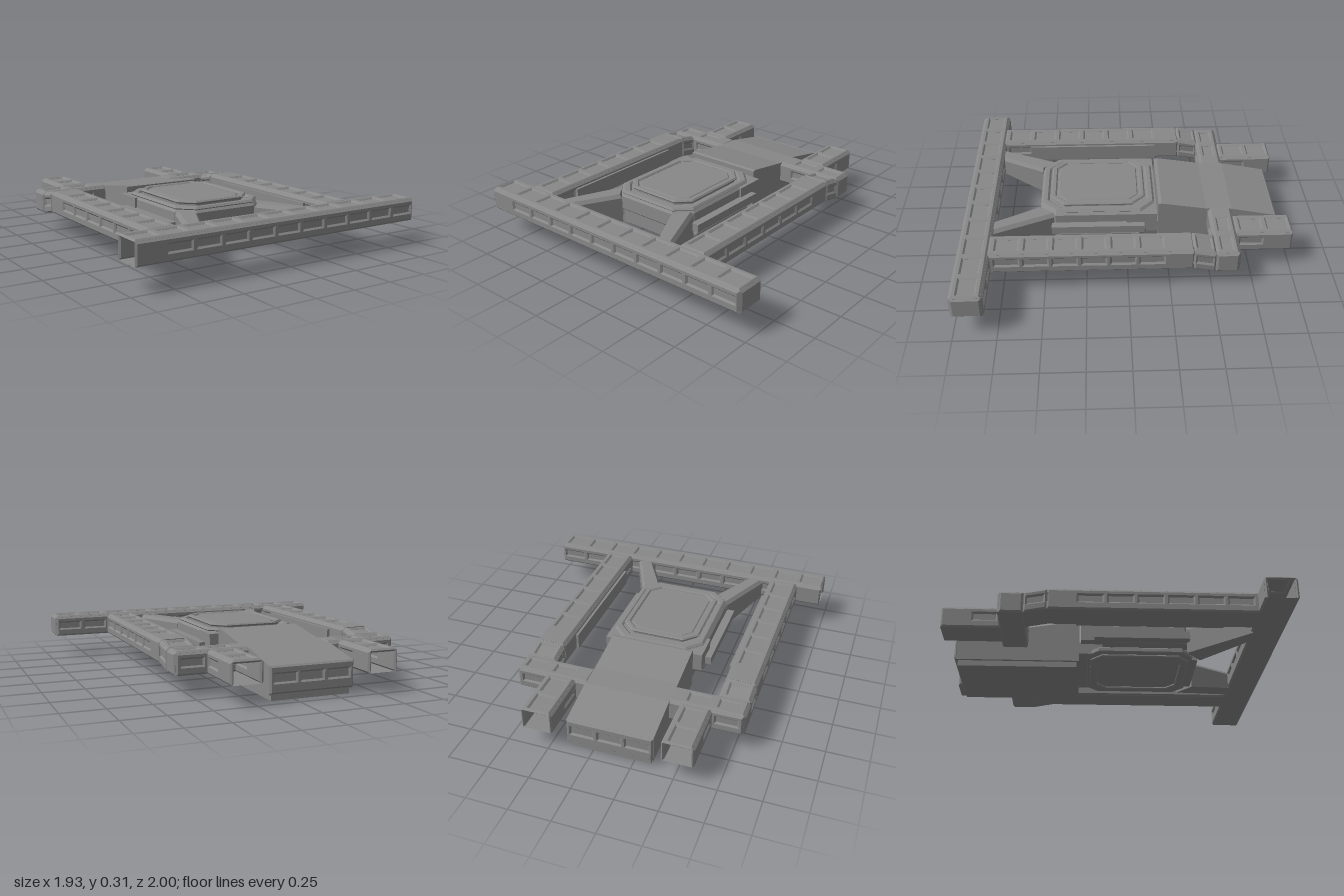
import * as THREE from 'three';

const CX = -0.105; // centre line of the frame
const D = 0.01; // depth of recessed windows and edge chamfers
const mat = new THREE.MeshStandardMaterial({ color: 0x888888, flatShading: true, side: THREE.DoubleSide });

function add(parent, name, geo, x = 0, y = 0, z = 0) {
  const m = new THREE.Mesh(geo, mat);
  m.name = name;
  m.position.set(x, y, z);
  parent.add(m);
  return m;
}

// box given by its limits
function box(parent, name, x0, x1, y0, y1, z0, z1) {
  return add(parent, name, new THREE.BoxGeometry(x1 - x0, y1 - y0, z1 - z0), (x0 + x1) / 2, (y0 + y1) / 2, (z0 + z1) / 2);
}

// loft between rings of points, with optional end caps
function loft(rings, capStart, capEnd) {
  const out = [];
  const n = rings[0].length;
  for (let i = 0; i + 1 < rings.length; i++) {
    for (let j = 0; j < n; j++) {
      const k = (j + 1) % n, a = rings[i][j], b = rings[i][k], c = rings[i + 1][k], d = rings[i + 1][j];
      out.push(...a, ...b, ...c, ...a, ...c, ...d);
    }
  }
  const cap = (r, flip) => {
    for (let j = 1; j + 1 < n; j++) out.push(...r[0], ...(flip ? r[j + 1] : r[j]), ...(flip ? r[j] : r[j + 1]));
  };
  if (capStart) cap(rings[0], true);
  if (capEnd) cap(rings[rings.length - 1], false);
  const g = new THREE.BufferGeometry();
  g.setAttribute('position', new THREE.Float32BufferAttribute(out, 3));
  g.computeVertexNormals();
  return g;
}

function rectPath(T, x0, x1, y0, y1) {
  return new T([[x0, y0], [x1, y0], [x1, y1], [x0, y1]].map(([x, y]) => new THREE.Vector2(x, y)));
}

// plate centred on its own plane, with bevelled edges and rectangular windows
function plate(x0, x1, y0, y1, windows = []) {
  const s = rectPath(THREE.Shape, x0, x1, y0, y1);
  for (const w of windows) s.holes.push(rectPath(THREE.Path, ...w));
  const g = new THREE.ExtrudeGeometry(s, { depth: 0.001, bevelThickness: D, bevelSize: D, bevelOffset: -D, bevelSegments: 1 });
  return g.translate(0, 0, -0.0005);
}

// hollow beam from s0 to s1 clad with windowed plates that meet in chamfered edges
function beam(parent, axis, centre, s0, s1, half, b, t, windows, winLen, winWidth, { caps = [false, false], slope = 0 } = {}) {
  const h = half - D, top = t - D;
  const z0 = caps[0] ? D : 0, z1 = s1 - s0 - (caps[1] ? D : 0);
  const ring = (z) => [[-h, b, z], [h, b, z], [h, top, z], [-h, top, z]];
  const cells = (len, v0, v1) => windows.map((s) => [s - s0 - len / 2, s - s0 + len / 2, v0, v1]);
  const X = new THREE.Vector3(1, 0, 0), Y = new THREE.Vector3(0, 1, 0), Z = new THREE.Vector3(0, 0, 1);

  const parts = [['beamCore', loft([ring(z0), ring(z1)], ...caps)]];
  const topPlate = plate(z0, z1, -h, h, cells(winLen, -winWidth / 2, winWidth / 2));
  parts.push(['topPlate', topPlate.applyMatrix4(new THREE.Matrix4().makeBasis(Z, X, Y)).translate(0, top, 0)]);
  for (const d of [-1, 1]) {
    const g = plate(z0, z1, b, top, cells(winLen + 0.01, b + 0.052, b + 0.09));
    parts.push(['sidePlate', g.applyMatrix4(new THREE.Matrix4().makeBasis(Z, Y, X.clone().negate())).translate(d * h, 0, 0)]);
  }
  caps.forEach((on, i) => {
    if (on) parts.push(['endPlate', plate(-h, h, b, top).translate(0, 0, i ? z1 : z0)]);
  });

  for (const [name, g] of parts) {
    g.applyMatrix4(new THREE.Matrix4().set(1, 0, 0, 0, 0, 1, slope, 0, 0, 0, 1, 0, 0, 0, 0, 1));
    if (axis === 'x') add(parent, name, g.rotateY(Math.PI / 2), s0, 0, centre);
    else add(parent, name, g, centre, 0, s0);
  }
}

// elongated octagonal plate with bevelled edges, optionally with an octagonal hole
function octPath(T, w, d, c) {
  const x = w / 2, y = d / 2;
  const pts = [[-x + c, -y], [x - c, -y], [x, -y + c], [x, y - c], [x - c, y], [-x + c, y], [-x, y - c], [-x, -y + c]];
  return new T(pts.map(([a, b]) => new THREE.Vector2(a, b)));
}
function octPlate(parent, name, w, d, c, y0, y1, z, bevel, hole) {
  const s = octPath(THREE.Shape, w, d, c);
  if (hole) s.holes.push(octPath(THREE.Path, ...hole));
  const g = new THREE.ExtrudeGeometry(s, {
    depth: y1 - y0 - 2 * bevel, bevelThickness: bevel, bevelSize: bevel, bevelOffset: -bevel, bevelSegments: 1,
  });
  g.translate(0, 0, bevel).rotateX(-Math.PI / 2);
  return add(parent, name, g, CX, y0, z);
}

export function createModel() {
  const model = new THREE.Group();
  const part = (name) => {
    const g = new THREE.Group();
    g.name = name;
    model.add(g);
    return g;
  };
  const row = (n, from, step) => Array.from({ length: n }, (_, i) => from + i * step);

  // front cross beam: open at its right end, closed at its left end
  beam(part('frontBeam'), 'x', 0.905, -0.97, 0.962, 0.095, 0.145, 0.283, row(11, -0.885, 0.1745), 0.125, 0.095, { caps: [false, true] });

  for (const s of [-1, 1]) {
    const side = s > 0 ? 'left' : 'right';

    // long side beam with a short length sloping down to the rear
    const sx = CX + s * 0.605;
    const rail = part(side + 'SideBeam');
    beam(rail, 'z', sx, -0.385, 0.82, 0.096, 0.145, 0.281, row(7, 0.715, -0.171), 0.125, 0.1);
    beam(rail, 'z', sx, -0.515, -0.385, 0.096, 0.12, 0.256, [-0.45], 0.08, 0.1, { slope: 0.19 });
    const ix = sx - s * 0.1;
    box(rail, 'innerSidePlate', ix - 0.012, ix + 0.012, 0.15, 0.25, -0.22, 0.64);

    // rear cross beam from the corner in to the ramp
    const ends = [CX + s * 0.25, CX + s * 0.7].sort((a, b) => a - b);
    beam(part(side + 'RearBeam'), 'x', -0.585, ...ends, 0.076, 0.12, 0.256,
      [CX + s * 0.415, CX + s * 0.595], 0.115, 0.06, { caps: [s < 0, s > 0] });

    // open-ended rear stub
    beam(part(side + 'RearStub'), 'z', CX + s * 0.415, -1, -0.655, 0.095, 0.12, 0.256, [-0.915, -0.75], 0.12, 0.1);

    // splayed strut between front beam and centre pod, its underside sloping down
    const strut = [[0.46, 0.35, 0.82, 0.82, 0.14], [0.3, 0.2, 0.45, 0.54, 0.08]].map(([fo, no, zf, zn, b]) => {
      const far = CX + s * fo, near = CX + s * no;
      return [[far, b, zf], [near, b, zn], [near, 0.24, zn], [near + s * 0.02, 0.262, zn], [far - s * 0.02, 0.262, zf], [far, 0.24, zf]];
    });
    add(model, side + 'Strut', loft(strut, true, true));

    // rail along the side of the pod
    const px = CX + s * 0.32;
    box(model, side + 'PodRail', px - 0.03, px + 0.03, 0.15, 0.2, -0.11, 0.465);
  }

  // centre pod: two octagonal decks with an open gap between front and rear blocks
  const pod = part('centrePod');
  octPlate(pod, 'lowerDeck', 0.6, 0.64, 0.07, 0.08, 0.112, 0.17, 0.006);
  octPlate(pod, 'underPanel', 0.53, 0.6, 0.07, 0.066, 0.084, 0.17, 0.006, [0.43, 0.5, 0.06]);
  octPlate(pod, 'upperDeck', 0.6, 0.72, 0.095, 0.15, 0.272, 0.175, 0.02);
  octPlate(pod, 'upperDeckRim', 0.585, 0.705, 0.09, 0.261, 0.285, 0.175, 0.012, [0.5, 0.61, 0.08]);
  octPlate(pod, 'hatchBase', 0.46, 0.56, 0.075, 0.265, 0.295, 0.175, 0.006);
  octPlate(pod, 'hatchRim', 0.495, 0.59, 0.08, 0.287, 0.305, 0.175, 0.008, [0.42, 0.52, 0.06]);
  octPlate(pod, 'hatchPanel', 0.4, 0.5, 0.055, 0.288, 0.3, 0.175, 0.005);
  box(pod, 'frontBlock', CX - 0.2, CX + 0.2, 0.08, 0.16, 0.43, 0.525);
  box(pod, 'rearBlock', CX - 0.255, CX + 0.255, 0.085, 0.16, -0.2, -0.06);
  box(pod, 'rearShoulder', CX - 0.312, CX + 0.312, 0.15, 0.262, -0.19, 0.0);

  // rear body with a sloping top and windowed back
  const body = part('rearRamp');
  const profile = [[-0.2, 0.035], [-0.2, 0.295], [-0.22, 0.3], [-0.5, 0.256], [-0.66, 0.25], [-0.935, 0.195], [-0.935, 0.035]];
  const shape = new THREE.Shape(profile.map(([z, y]) => new THREE.Vector2(z, y)));
  const g = new THREE.ExtrudeGeometry(shape, { depth: 0.516, bevelEnabled: false });
  g.translate(0, 0, -0.258).rotateY(-Math.PI / 2);
  add(body, 'rampBody', g, CX, 0, 0);
  box(body, 'rampBase', CX - 0.242, CX + 0.242, 0, 0.04, -0.925, -0.215);
  const openings = row(3, -0.165, 0.165).map((x) => [x - 0.065, x + 0.065, 0.105, 0.15]);
  add(body, 'rearPlate', plate(-0.258, 0.258, 0.04, 0.197, openings), CX, 0, -0.938);

  return model;
}
